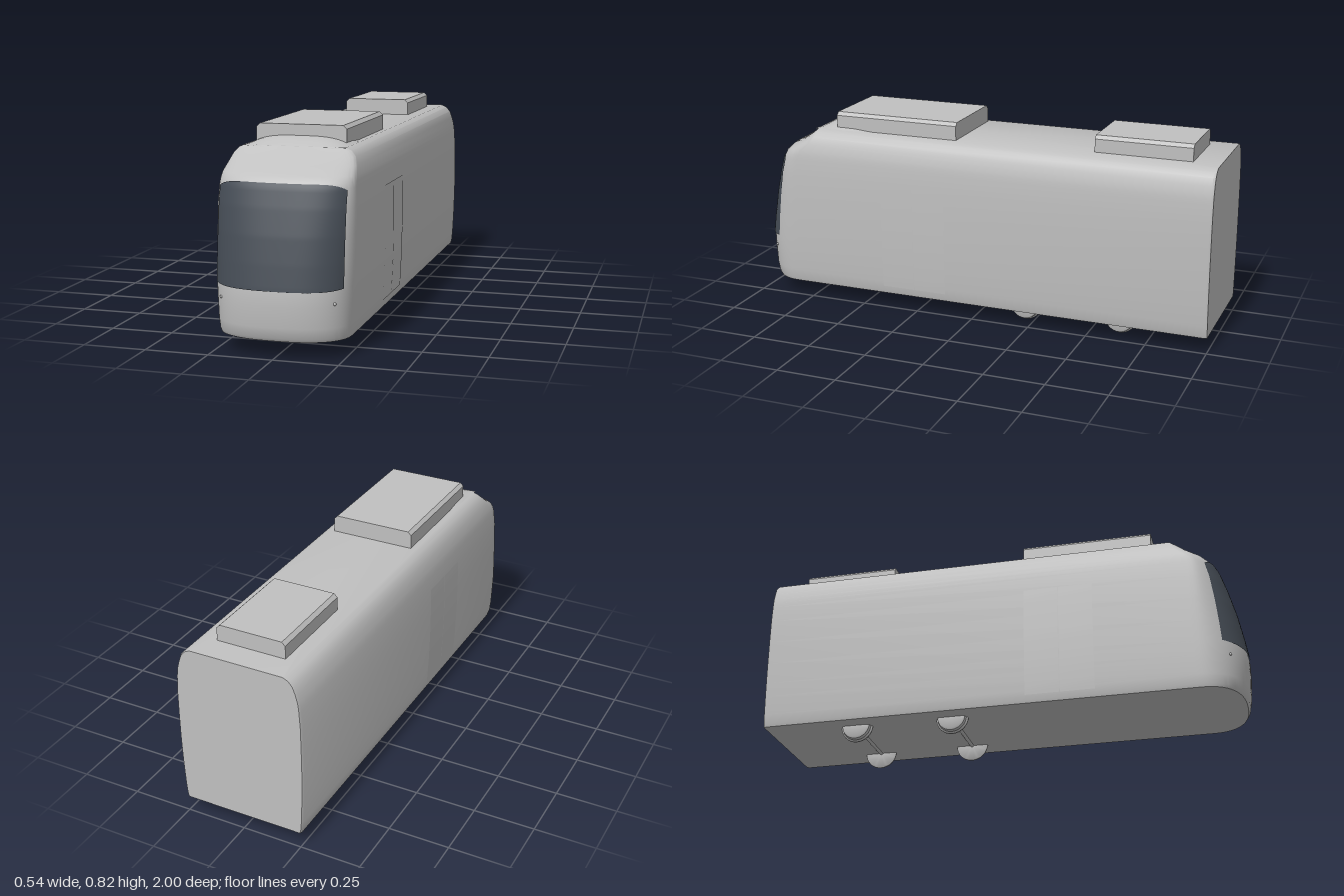
import * as THREE from 'three';
import { toCreasedNormals, mergeVertices } from 'three/addons/utils/BufferGeometryUtils.js';

const bodyGrey = new THREE.MeshStandardMaterial({ color: 0xc0c0c0 });
bodyGrey.name = 'bodyGrey';
const glassDark = new THREE.MeshStandardMaterial({ color: 0x454c55 });
glassDark.name = 'glassDark';

// Body levels: height, half width, nose z, depth of the rounded nose
const LEVELS = [
  [0.067, 0.252, 0.978, 0.17], [0.08, 0.256, 0.987, 0.18], [0.12, 0.26, 0.995, 0.19],
  [0.2, 0.264, 1.0, 0.2], [0.26, 0.266, 1.0, 0.2], [0.35, 0.268, 0.985, 0.19],
  [0.45, 0.268, 0.965, 0.17], [0.55, 0.267, 0.938, 0.14], [0.62, 0.263, 0.915, 0.12],
  [0.64, 0.261, 0.904, 0.115], [0.66, 0.258, 0.88, 0.1], [0.69, 0.25, 0.825, 0.08],
  [0.72, 0.239, 0.775, 0.05], [0.74, 0.222, 0.745, 0.03], [0.75, 0.2, 0.73, 0.015],
];
const POWER = 2.5;

// Half width, nose z and nose depth at any height
function levelAt(y) {
  let i = 1;
  while (i < LEVELS.length - 1 && LEVELS[i][0] < y) i++;
  const a = LEVELS[i - 1], b = LEVELS[i];
  const t = (y - a[0]) / (b[0] - a[0]);
  return [1, 2, 3].map((k) => a[k] + (b[k] - a[k]) * t);
}

function noseZ(x, y) {
  const [w, z, d] = levelAt(y);
  const k = Math.min(1, Math.abs(x) / w);
  return z - d + d * Math.pow(1 - Math.pow(k, POWER), 1 / POWER);
}

function geometryFrom(positions, index) {
  const g = new THREE.BufferGeometry();
  g.setAttribute('position', new THREE.Float32BufferAttribute(positions, 3));
  g.setIndex(index);
  return g;
}

// Surface patch from a rule fn(u, v) => [x, y, z]
function patch(fn, nu, nv) {
  const p = [], index = [];
  for (let j = 0; j <= nv; j++) for (let i = 0; i <= nu; i++) p.push(...fn(i / nu, j / nv));
  for (let j = 0; j < nv; j++) for (let i = 0; i < nu; i++) {
    const a = j * (nu + 1) + i, d = a + nu + 1;
    index.push(a, a + 1, d + 1, a, d + 1, d);
  }
  const g = geometryFrom(p, index);
  g.computeVertexNormals();
  return g;
}

// Body shell: plan outlines stacked by height, closed by floor and roof
function bodyGeometry() {
  const p = [], index = [], N = 48, c = 0.01;
  for (const [y, w, z, d] of LEVELS) {
    for (let i = 0; i <= N; i++) {
      const t = (Math.PI * i) / N, cs = Math.cos(t), sn = Math.max(0, Math.sin(t));
      p.push(w * Math.sign(cs) * Math.pow(Math.abs(cs), 2 / POWER), y, z - d + d * Math.pow(sn, 2 / POWER));
    }
    p.push(-w, y, -1 + c, -w + c / 2, y, -1, w - c / 2, y, -1, w, y, -1 + c);
  }
  const M = N + 5, top = (LEVELS.length - 1) * M, centre = LEVELS.length * M;
  p.push(0, LEVELS[0][0], 0, 0, 0.75, 0);
  for (let i = 0; i < M; i++) {
    const n = (i + 1) % M;
    for (let r = 0; r < top; r += M) {
      index.push(r + i, r + M + n, r + n, r + i, r + M + i, r + M + n);
    }
    index.push(centre, i, n, centre + 1, top + n, top + i);
  }
  return toCreasedNormals(geometryFrom(p, index), 0.55);
}

// Roof unit with chamfered upper edges
function roofUnit(half, height, z0, z1) {
  const c = 0.014, s = new THREE.Shape();
  s.moveTo(-half, 0);
  s.lineTo(half, 0);
  s.lineTo(half, height - c);
  s.lineTo(half - c, height);
  s.lineTo(-half + c, height);
  s.lineTo(-half, height - c);
  s.closePath();
  const g = new THREE.ExtrudeGeometry(s, { depth: z1 - z0, bevelEnabled: false });
  g.translate(0, 0.749, z0);
  return g;
}

// Low fairing under the front roof unit: z, half width, rise
const FAIRING = [
  [0.735, 0.2, -0.004], [0.7, 0.2, 0.014], [0.66, 0.198, 0.028], [0.62, 0.196, 0.034],
  [0.56, 0.195, 0.031], [0.51, 0.192, 0.016], [0.47, 0.185, -0.004],
];
function fairingGeometry() {
  const n = FAIRING.length - 1;
  return patch((u, v) => {
    const [z, w, h] = FAIRING[Math.round(v * n)];
    const k = u * 2 - 1;
    return [k * w, 0.749 + h * (1 - Math.pow(Math.abs(k), 3.5)), z];
  }, 24, n);
}

export function createModel() {
  const model = new THREE.Group();
  model.name = 'tramCar';
  const add = (name, geometry, material = bodyGrey, parent = model) => {
    const m = new THREE.Mesh(geometry, material);
    m.name = name;
    parent.add(m);
    return m;
  };

  add('bodyShell', bodyGeometry());

  // Windscreen wrapped over the nose, with softened corners
  add('windscreen', patch((u, v) => {
    const k = u * 2 - 1, x = 0.243 * k, e = Math.pow(Math.abs(k), 8);
    const y0 = 0.257 + 0.006 * e, y1 = 0.637 - 0.022 * e;
    const y = y0 + (y1 - y0) * v;
    return [x * 1.008, y, noseZ(x, y) + 0.004];
  }, 48, 40), glassDark);

  // Roof equipment
  add('frontRoofUnit', roofUnit(0.179, 0.074, 0.095, 0.64));
  add('rearRoofUnit', roofUnit(0.145, 0.069, -0.89, -0.49));
  add('roofFairing', fairingGeometry());

  for (const s of [1, -1]) {
    const side = s > 0 ? 'left' : 'right';

    // Double door leaves following the curved side
    for (const [leaf, z] of [['FrontDoorLeaf', 0.33], ['RearDoorLeaf', 0.186]]) {
      add(side + leaf, patch((u, v) => {
        const y = 0.1 + 0.465 * v;
        return [s * (levelAt(y)[0] + 0.0015), y, z - s * (u - 0.5) * 0.141];
      }, 1, 16));
    }

    // Small marker lamp
    const lamp = add(side + 'MarkerLamp', new THREE.SphereGeometry(0.006, 12, 8));
    lamp.position.set(s * 0.218, 0.21, noseZ(0.218, 0.21));
  }

  // Wheelsets: flanged wheels joined by an axle
  const profile = [[0, 0], [0.062, 0], [0.068, 0.004], [0.068, 0.008], [0.061, 0.014], [0.058, 0.028], [0.05, 0.032], [0, 0.032]]
    .map(([r, h]) => new THREE.Vector2(r, h));
  const wheelGeometry = toCreasedNormals(mergeVertices(new THREE.LatheGeometry(profile, 32)), 0.6);
  const axleGeometry = new THREE.CylinderGeometry(0.009, 0.009, 0.31, 12);
  for (const [name, z] of [['frontWheelset', -0.21], ['rearWheelset', -0.62]]) {
    const set = new THREE.Group();
    set.name = name;
    set.position.set(0, 0.07, z);
    model.add(set);
    add('axle', axleGeometry, bodyGrey, set).rotation.z = Math.PI / 2;
    for (const s of [1, -1]) {
      const wheel = add(s > 0 ? 'leftWheel' : 'rightWheel', wheelGeometry, bodyGrey, set);
      wheel.position.x = s * 0.153;
      wheel.rotation.z = -s * Math.PI / 2;
    }
  }
  return model;
}
